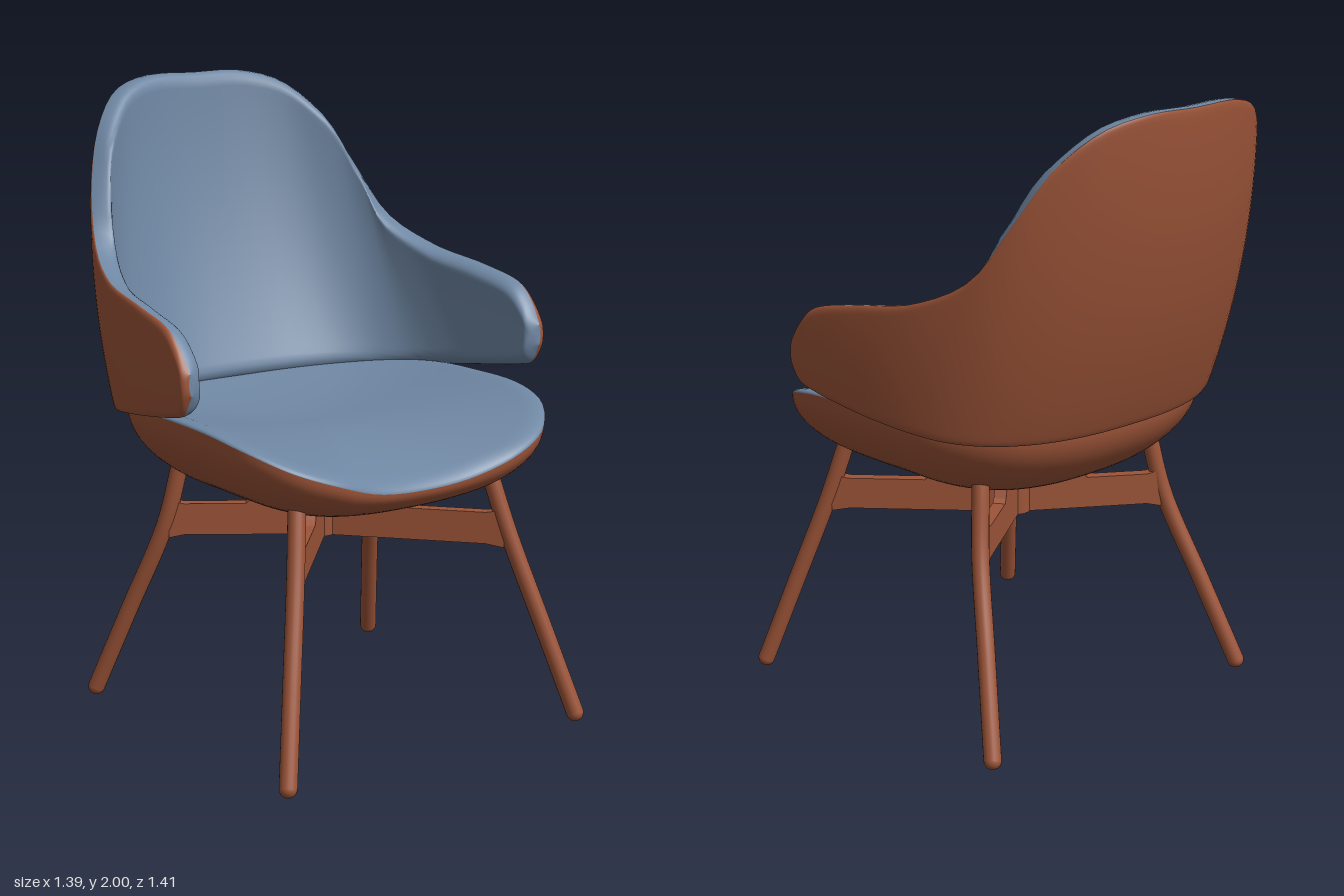
import * as THREE from 'three';
import { mergeVertices } from 'three/addons/utils/BufferGeometryUtils.js';

const V = (x, y, z) => new THREE.Vector3(x, y, z);

// Smooth surface from a point rule over a grid of i and j
function gridGeometry(point, ni, nj, flip) {
  const pos = [], index = [];
  for (let i = 0; i <= ni; i++)
    for (let j = 0; j <= nj; j++) pos.push(...point(i, j).toArray());
  for (let i = 0; i < ni; i++)
    for (let j = 0; j < nj; j++) {
      const a = i * (nj + 1) + j, b = a + nj + 1;
      if (flip) index.push(a, a + 1, b, b, a + 1, b + 1);
      else index.push(a, b, a + 1, b, b + 1, a + 1);
    }
  const g = new THREE.BufferGeometry();
  g.setAttribute('position', new THREE.Float32BufferAttribute(pos, 3));
  g.setIndex(index);
  const merged = mergeVertices(g, 1e-5);
  merged.computeVertexNormals();
  return merged;
}

export function createModel() {
  const chair = new THREE.Group();
  chair.name = 'chair';
  const fabric = new THREE.MeshStandardMaterial({ color: 0x6f87a3 });
  fabric.name = 'blue fabric';
  const wood = new THREE.MeshStandardMaterial({ color: 0x9c5438 });
  wood.name = 'brown wood';

  const add = (parent, name, geometry, material) => {
    const mesh = new THREE.Mesh(geometry, material);
    mesh.name = name;
    parent.add(mesh);
    return mesh;
  };

  // Seat: closed rim curve, dished cushion above and rounded shell below
  const halfRim = [
    [0, 0.835, 0.607], [0.18, 0.85, 0.615], [0.34, 0.9, 0.632], [0.475, 0.95, 0.587],
    [0.57, 1.005, 0.475], [0.604, 1.035, 0.32], [0.606, 1.04, 0.1], [0.6, 1.035, -0.08],
    [0.55, 1.025, -0.22], [0.43, 1.01, -0.35], [0.24, 1.0, -0.43], [0, 0.995, -0.45],
  ].map(p => V(...p));
  const mirrored = list => list.map(p => V(-p.x, p.y, p.z)).reverse();
  const rim = new THREE.CatmullRomCurve3([...halfRim, ...mirrored(halfRim.slice(1, -1))], true);
  const NS = 28, NA = 96, seatZ = 0.08;
  const seatPoint = top => (i, j) => {
    const s = Math.sin((Math.PI / 2) * (i / NS));
    const r = rim.getPoint((j % NA) / NA);
    const roll = Math.sqrt(Math.max(0, 1 - Math.max(0, (s - 0.9) / 0.1) ** 2));
    const y = top
      ? 0.935 + (r.y - 0.935) * s * s + 0.022 * roll
      : 0.7 + (r.y - 0.7) * (1 - Math.max(0, 1 - s ** 1.9) ** 0.48);
    return V(r.x * s, y, seatZ + (r.z - seatZ) * s);
  };
  const seat = new THREE.Group();
  seat.name = 'seat';
  chair.add(seat);
  add(seat, 'seatCushion', gridGeometry(seatPoint(true), NS, NA, false), fabric);
  add(seat, 'seatShell', gridGeometry(seatPoint(false), NS, NA, true), wood);

  // Backrest with arms: lofted between a lower and an upper edge
  const lowerHalf = [
    [0, 0.985, -0.468], [0.2, 0.985, -0.455], [0.37, 0.988, -0.41], [0.5, 0.995, -0.335],
    [0.58, 1.005, -0.245], [0.63, 1.022, -0.145], [0.66, 1.04, -0.02], [0.676, 1.06, 0.12],
    [0.685, 1.08, 0.24], [0.687, 1.098, 0.305], [0.689, 1.16, 0.342],
  ].map(p => V(...p));
  const upperHalf = [
    [0, 1.998, -0.703], [0.18, 1.998, -0.693], [0.325, 1.96, -0.645], [0.435, 1.86, -0.568],
    [0.515, 1.7, -0.482], [0.58, 1.52, -0.36], [0.642, 1.43, -0.18], [0.678, 1.388, 0.06],
    [0.69, 1.348, 0.23], [0.692, 1.295, 0.292], [0.692, 1.225, 0.338],
  ].map(p => V(...p));
  const edge = half => new THREE.CatmullRomCurve3([...mirrored(half.slice(1)), ...half]);
  const lower = edge(lowerHalf), upper = edge(upperHalf);
  const base = (t, v) => lower.getPoint(t).lerp(upper.getPoint(t), v);
  const inward = (t, v) => {
    const e = 0.002;
    const t0 = Math.max(0, t - e), t1 = Math.min(1, t + e);
    const du = base(t1, v).sub(base(t0, v));
    const dv = base(t, 1).sub(base(t, 0));
    return du.cross(dv).normalize();
  };
  const NT = 100, NV = 32;
  const ease = k => (1 - Math.cos(Math.PI * k)) / 2;
  const round = (d, reach) => Math.sqrt(1 - (1 - Math.min(1, Math.max(0, d) / reach)) ** 2);
  const backPoint = inner => (i, j) => {
    const t = ease(i / NT), v = ease(j / NV);
    const height = lower.getPoint(t).distanceTo(upper.getPoint(t));
    const reach = inner ? 0.045 : 0.025;
    const full = round(Math.min(v, 1 - v) * height, reach) * round(Math.min(t, 1 - t) * 1.2, reach);
    const middle = Math.sin(Math.PI * t);
    const bulge = (0.006 + 0.045 * middle ** 5) * 4 * v * (1 - v);
    // The fabric wraps over the edge, less so at the arm tips
    const seam = 0.005 + 0.017 * (1 - middle) ** 2;
    const depth = inner ? seam + (0.072 - seam) * full : seam * (1 - full);
    return base(t, v).addScaledVector(inward(t, v), depth - bulge);
  };
  const back = new THREE.Group();
  back.name = 'backrest';
  chair.add(back);
  add(back, 'backrestCushion', gridGeometry(backPoint(true), NT, NV, false), fabric);
  add(back, 'backrestShell', gridGeometry(backPoint(false), NT, NV, true), wood);

  // Legs with a slight bend, and the crossed beams that join them
  const hub = V(0, 0, 0.055), radius = 0.028;
  const frame = new THREE.Group();
  frame.name = 'base';
  chair.add(frame);
  const legs = [
    { name: 'frontLeg', foot: [0.56, radius, 0.678], knee: [0.415, 0.6, 0.51], top: [0.375, 0.79, 0.46] },
    { name: 'backLeg', foot: [0.56, radius, -0.43], knee: [0.415, 0.6, -0.225], top: [0.375, 0.82, -0.185] },
  ];
  for (const { name, foot, knee, top } of legs)
    for (const side of [1, -1]) {
      const [a, b, c] = [foot, knee, top].map(p => V(p[0] * side, p[1], p[2]));
      const leg = new THREE.Group();
      leg.name = (side > 0 ? 'left ' : 'right ') + name;
      frame.add(leg);
      const path = new THREE.CatmullRomCurve3([a, a.clone().lerp(b, 0.5), b, c]);
      add(leg, 'legPole', new THREE.TubeGeometry(path, 30, radius, 18), wood);
      for (const end of [a, c])
        add(leg, 'legEnd', new THREE.SphereGeometry(radius, 18, 12), wood).position.copy(end);

      const dx = b.x, dz = b.z - hub.z, L = Math.hypot(dx, dz) - 0.015;
      const profile = new THREE.Shape([
        [0, 0.575], [L * 0.9, 0.575], [L, 0.565], [L, 0.688], [L * 0.9, 0.678],
        [L * 0.49, 0.678], [L * 0.46, 0.69], [L * 0.41, 0.74], [0, 0.74],
      ].map(p => new THREE.Vector2(...p)));
      const beamGeometry = new THREE.ExtrudeGeometry(profile, { depth: 0.04, bevelEnabled: false });
      beamGeometry.translate(0, 0, -0.02);
      const beam = add(frame, 'crossBeam', beamGeometry, wood);
      beam.position.copy(hub);
      beam.rotation.y = Math.atan2(-dz, dx);
    }
  add(frame, 'beamHub', new THREE.CylinderGeometry(0.05, 0.05, 0.165, 24), wood)
    .position.set(hub.x, 0.6575, hub.z);

  return chair;
}
